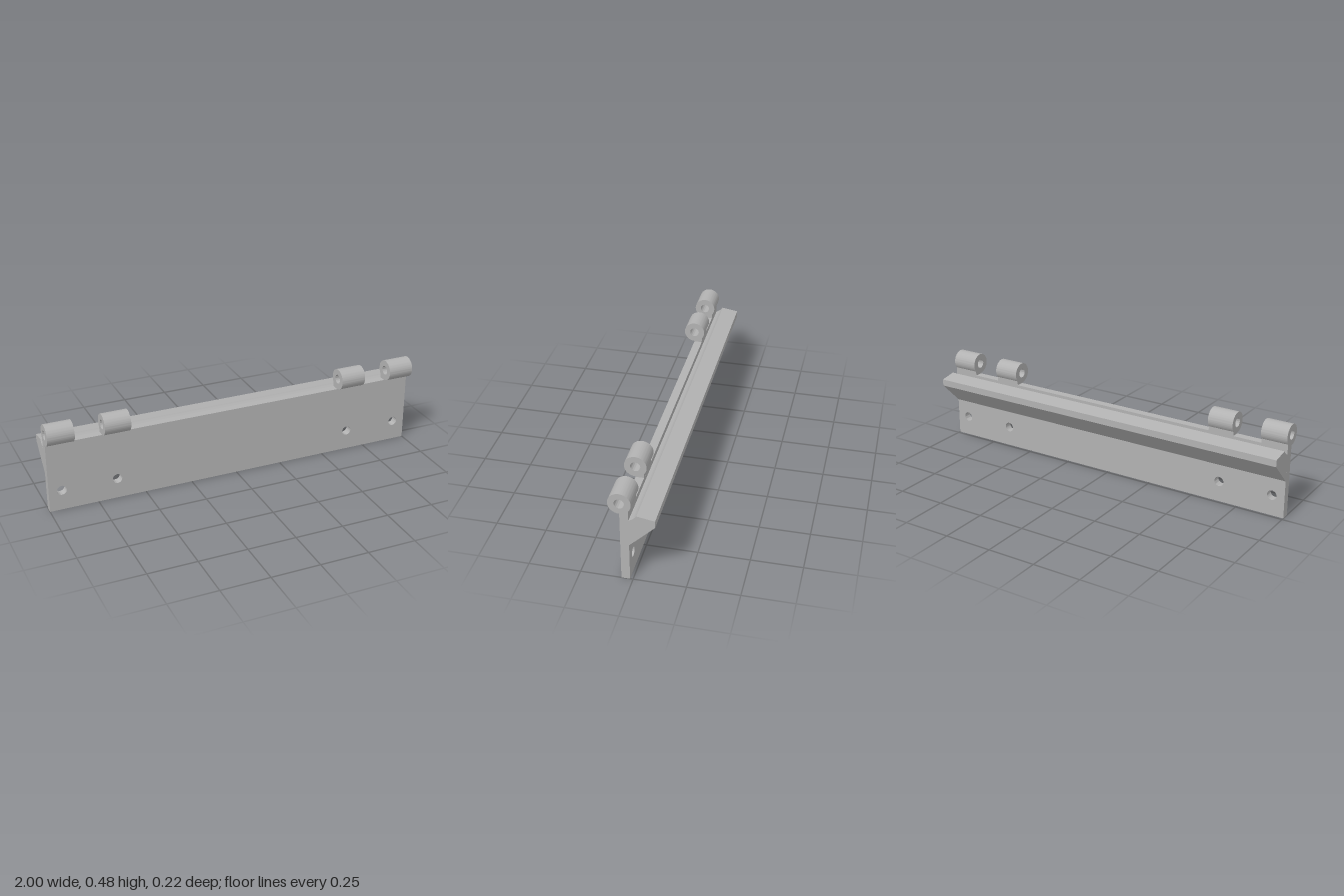
import * as THREE from 'three';
import { toCreasedNormals } from 'three/addons/utils/BufferGeometryUtils.js';

const FRONT = 0.055, BACK = 0.014, TOP = 0.366; // plate faces and top edge
const PIN_Y = 0.423, PIN_Z = 0.055;             // hinge axis

export function createModel() {
  const model = new THREE.Group();
  model.name = 'hingeLeaf';
  const metal = new THREE.MeshStandardMaterial({ color: 0xb2b2b2 });
  metal.name = 'grey metal';

  const add = (name, geometry) => {
    const mesh = new THREE.Mesh(toCreasedNormals(geometry, 0.5), metal);
    mesh.name = name;
    model.add(mesh);
  };
  const extrude = (shape, depth) =>
    new THREE.ExtrudeGeometry(shape, { depth, bevelEnabled: false, curveSegments: 32 });
  // Sweeps a (z, y) profile along x, from x0 to x1
  const sweep = (shape, x0, x1) =>
    extrude(shape, x1 - x0).rotateY(-Math.PI / 2).translate(x1, 0, 0);
  const hole = (x, y, r) => new THREE.Path().absarc(x, y, r, 0, Math.PI * 2, true);

  // Flat plate with four screw holes
  const plate = new THREE.Shape([[-1, 0], [1, 0], [1, TOP], [-1, TOP]]
    .map(([x, y]) => new THREE.Vector2(x, y)));
  for (const x of [-0.933, -0.647, 0.647, 0.933]) plate.holes.push(hole(x, 0.107, 0.025));
  add('plate', extrude(plate, FRONT - BACK).translate(0, 0, BACK));

  // Wedge-shaped rear ledge, with a hollow concentric with the hinge axis
  const angle = (z, y) => Math.atan2(y - PIN_Y, z - PIN_Z);
  const ledge = new THREE.Shape();
  ledge.moveTo(BACK, 0.337);
  ledge.absarc(PIN_Z, PIN_Y, 0.0955, angle(BACK, 0.337), angle(-0.023, 0.367), true);
  ledge.lineTo(-0.108, 0.353);
  ledge.lineTo(-0.108, 0.318);
  ledge.lineTo(BACK, 0.197);
  add('rearLedge', sweep(ledge, -1, 1));

  // Hinge knuckles: bored barrels with a short neck down to the plate
  const knuckle = new THREE.Shape();
  knuckle.moveTo(BACK, TOP);
  knuckle.lineTo(FRONT, TOP);
  knuckle.absarc(PIN_Z, PIN_Y, 0.054, -Math.PI / 2, angle(BACK, 0.388) + Math.PI * 2, false);
  knuckle.holes.push(hole(PIN_Z, PIN_Y, 0.024));
  for (const [x0, x1] of [[0.58, 0.714], [0.864, 1]]) {
    add('leftKnuckle', sweep(knuckle, x0, x1));
    add('rightKnuckle', sweep(knuckle, -x1, -x0));
  }
  return model;
}
